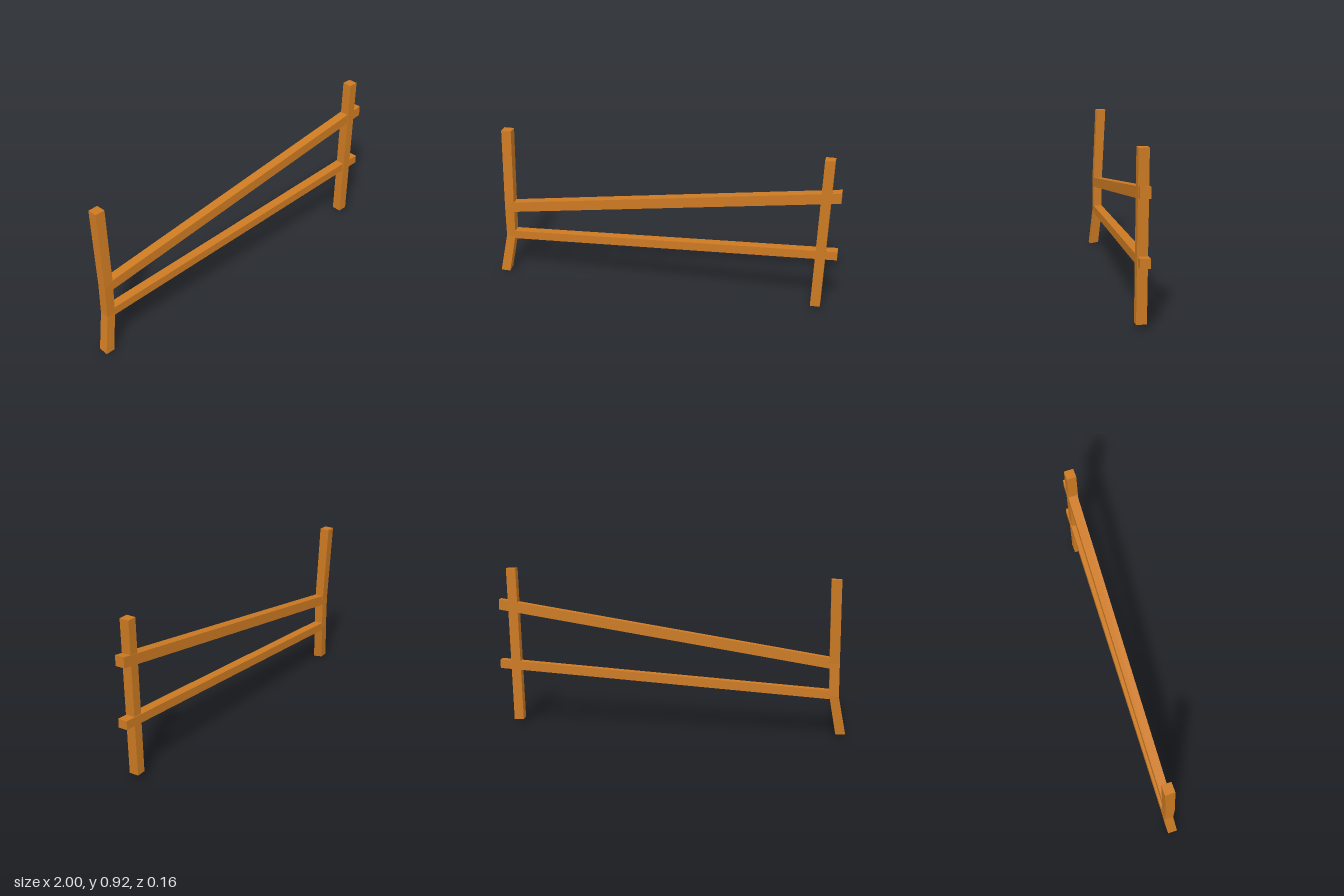
import * as THREE from 'three';

const wood = new THREE.MeshStandardMaterial({ color: 0xcc7a22, flatShading: true });

// Squared timber lofted through rings of four corners, each ring
// running counter-clockwise when seen from the far end of the beam.
function beam(name, rings) {
  const pos = [];
  const quad = (a, b, c, d) => [a, b, c, a, c, d].forEach(p => pos.push(...p));
  for (let i = 0; i < rings.length - 1; i++) {
    for (let k = 0; k < 4; k++) {
      const n = (k + 1) % 4;
      quad(rings[i][k], rings[i][n], rings[i + 1][n], rings[i + 1][k]);
    }
  }
  const [a, b, c, d] = rings[0];
  quad(d, c, b, a);
  quad(...rings[rings.length - 1]);
  const geo = new THREE.BufferGeometry();
  geo.setAttribute('position', new THREE.Float32BufferAttribute(pos, 3));
  geo.computeVertexNormals();
  const mesh = new THREE.Mesh(geo, wood);
  mesh.name = name;
  return mesh;
}

// Ring across a post; the back and front edges may differ in height.
const postRing = (x0, x1, zBack, zFront, yBack, yFront = yBack) => [
  [x0, yFront, zFront], [x1, yFront, zFront], [x1, yBack, zBack], [x0, yBack, zBack],
];

// Ring across a rail.
const railRing = (x, y0, y1, zBack, zFront) => [
  [x, y0, zFront], [x, y0, zBack], [x, y1, zBack], [x, y1, zFront],
];

export function createModel() {
  const fence = new THREE.Group();
  fence.name = 'fence';

  // Crooked post with a kicked-out foot
  fence.add(beam('rightPost', [
    postRing(-1, -0.945, -0.035, 0.02, 0.008, 0),
    postRing(-0.958, -0.905, -0.053, 0, 0.23),
    postRing(-0.958, -0.902, -0.053, 0, 0.42),
    postRing(-0.958, -0.9, -0.078, -0.022, 0.89),
  ]));

  // Straight post, slightly leaning
  fence.add(beam('leftPost', [
    postRing(0.87, 0.925, 0.025, 0.08, 0.03),
    postRing(0.898, 0.953, 0.021, 0.076, 0.92),
  ]));

  // Slanting rails
  fence.add(beam('upperRail', [
    railRing(-0.93, 0.385, 0.445, -0.0525, -0.001),
    railRing(1, 0.68, 0.74, 0.023, 0.077),
  ]));
  fence.add(beam('lowerRail', [
    railRing(-0.93, 0.213, 0.262, -0.0525, -0.001),
    railRing(1, 0.335, 0.385, 0.023, 0.077),
  ]));

  return fence;
}
